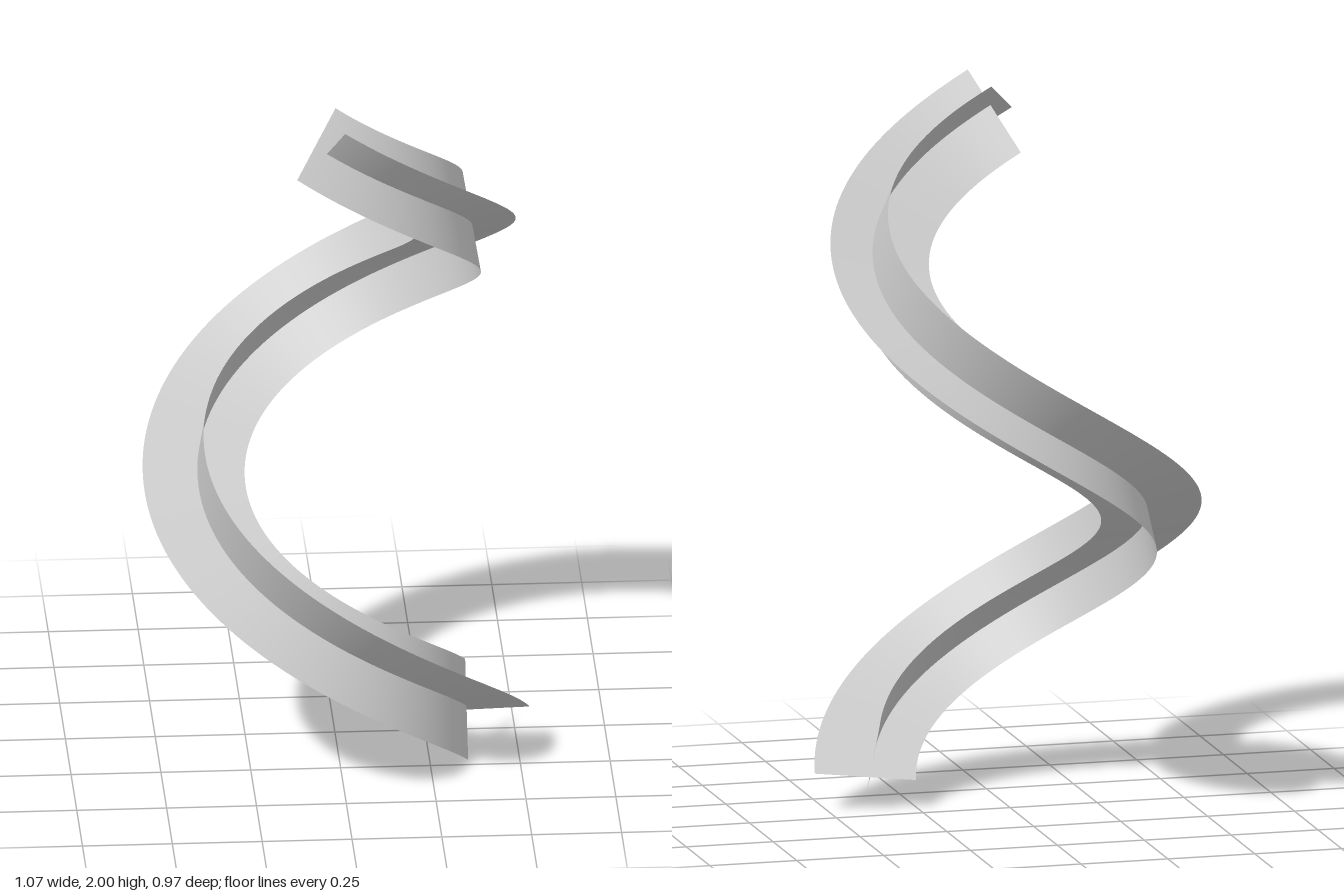
import * as THREE from 'three';
import { ParametricGeometry } from 'three/addons/geometries/ParametricGeometry.js';

const RADIUS = 0.382;   // helix radius
const RISE = 0.2345;    // climb per radian
const BASE = 0.047;     // height at angle zero
const LENGTH = Math.hypot(RADIUS, RISE);
const SIN = RISE / LENGTH, COS = RADIUS / LENGTH;

// Point beside the helix: the section frame turns slowly about the path
// (twist-free transport), and `tilt` picks the ribbon's direction in it.
function helixPoint(angle, tilt, offset, target) {
  const c = Math.cos(angle), s = Math.sin(angle);
  const turn = SIN * angle + tilt;
  const out = offset * Math.cos(turn), up = offset * Math.sin(turn);
  target.set(
    c * (RADIUS + out) + up * SIN * s,
    BASE + RISE * angle + up * COS,
    s * (RADIUS + out) - up * SIN * c
  );
}

// Flat ribbon swept along the helix
function ribbon(name, tilt, from, to, inner, outer, material) {
  const geometry = new ParametricGeometry((u, v, target) => {
    helixPoint(THREE.MathUtils.lerp(from, to, u), tilt,
      THREE.MathUtils.lerp(inner, outer, v), target);
  }, 240, 4);
  const mesh = new THREE.Mesh(geometry, material);
  mesh.name = name;
  return mesh;
}

export function createModel() {
  const model = new THREE.Group();
  model.name = 'crossedHelixRibbons';
  const material = new THREE.MeshStandardMaterial({ color: 0xcccccc, side: THREE.DoubleSide });

  // Two ribbons crossing at right angles, with slightly staggered ends
  model.add(ribbon('uprightRibbon', Math.PI / 2, 0.358, 8.063, -0.153, 0.132, material));
  model.add(ribbon('flatRibbon', 0, 0.202, 7.976, -0.122, 0.163, material));
  return model;
}
